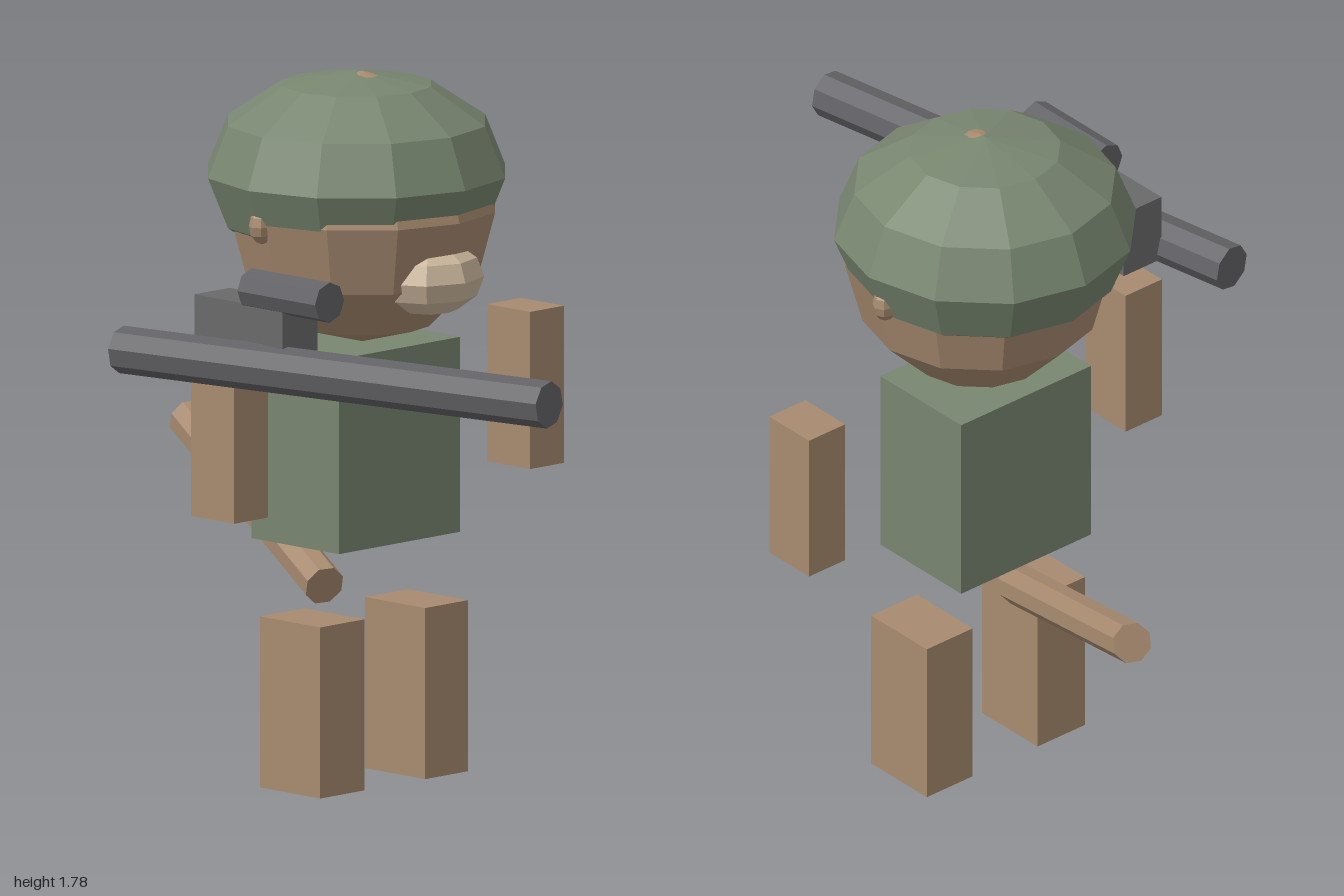
import * as THREE from 'three';

const mat = (name, color) => {
  const m = new THREE.MeshStandardMaterial({ color, flatShading: true });
  m.name = name;
  return m;
};

export function createModel() {
  const model = new THREE.Group();
  model.name = 'helmetedFigure';

  const skin = mat('brownSkin', 0xa88b70);
  const green = mat('armyGreen', 0x788670);
  const cream = mat('creamMuzzle', 0xcdb89e);
  const metal = mat('darkMetal', 0x636266);
  const block = mat('greyMetal', 0x6a6a6a);

  const add = (name, geometry, material) => {
    const mesh = new THREE.Mesh(geometry, material);
    mesh.name = name;
    model.add(mesh);
    return mesh;
  };
  // Box given by its lowest and highest corner
  const box = (name, material, a, b) => {
    const mesh = add(name, new THREE.BoxGeometry(b[0] - a[0], b[1] - a[1], b[2] - a[2]), material);
    mesh.position.set((a[0] + b[0]) / 2, (a[1] + b[1]) / 2, (a[2] + b[2]) / 2);
  };
  // Stretched low-poly sphere
  const ball = (name, material, centre, radii, segments, rings) => {
    const geometry = new THREE.SphereGeometry(1, segments, rings).scale(...radii);
    add(name, geometry, material).position.set(...centre);
  };
  // Eight-sided rod between two points
  const rod = (name, material, from, to, radius) => {
    const a = new THREE.Vector3(...from), b = new THREE.Vector3(...to);
    const dir = b.clone().sub(a);
    const mesh = add(name, new THREE.CylinderGeometry(radius, radius, dir.length(), 8), material);
    mesh.position.copy(a).add(b).multiplyScalar(0.5);
    mesh.quaternion.setFromUnitVectors(new THREE.Vector3(0, 1, 0), dir.normalize());
  };

  // Head, facing +x, with a helmet that it pokes out of
  ball('head', skin, [-0.16, 1.44, -0.1], [0.34, 0.34, 0.34], 12, 6);
  ball('helmet', green, [-0.18, 1.525, -0.1], [0.38, 0.255, 0.38], 12, 6);
  ball('muzzle', cream, [0.08, 1.293, -0.1], [0.12, 0.095, 0.143], 8, 6);
  for (const side of [-1, 1]) {
    ball('ear', skin, [-0.183, 1.43, -0.1 + side * 0.325], [0.03, 0.046, 0.038], 8, 6);
  }

  // Body and floating limbs
  box('torso', green, [-0.335, 0.61, -0.312], [-0.03, 1.1, 0.112]);
  box('rightArm', skin, [-0.18, 0.735, 0.36], [-0.03, 1.13, 0.478]);
  box('leftArm', skin, [-0.18, 0.735, -0.675], [-0.03, 1.13, -0.557]);
  box('rightLeg', skin, [-0.257, 0, 0.005], [-0.047, 0.43, 0.16]);
  box('leftLeg', skin, [-0.257, 0, -0.357], [-0.047, 0.43, -0.207]);
  rod('tail', skin, [-0.235, 0.483, -0.043], [-0.98, 0.77, -0.313], 0.052);

  // Held tube with a receiver block and sight on top
  rod('barrel', metal, [-0.285, 1.158, 0.616], [0.987, 1.158, 0.395], 0.059);
  box('receiver', block, [-0.107, 1.13, 0.417], [0.2, 1.31, 0.54]);
  rod('sight', metal, [0.062, 1.343, 0.508], [0.333, 1.343, 0.508], 0.051);

  return model;
}
